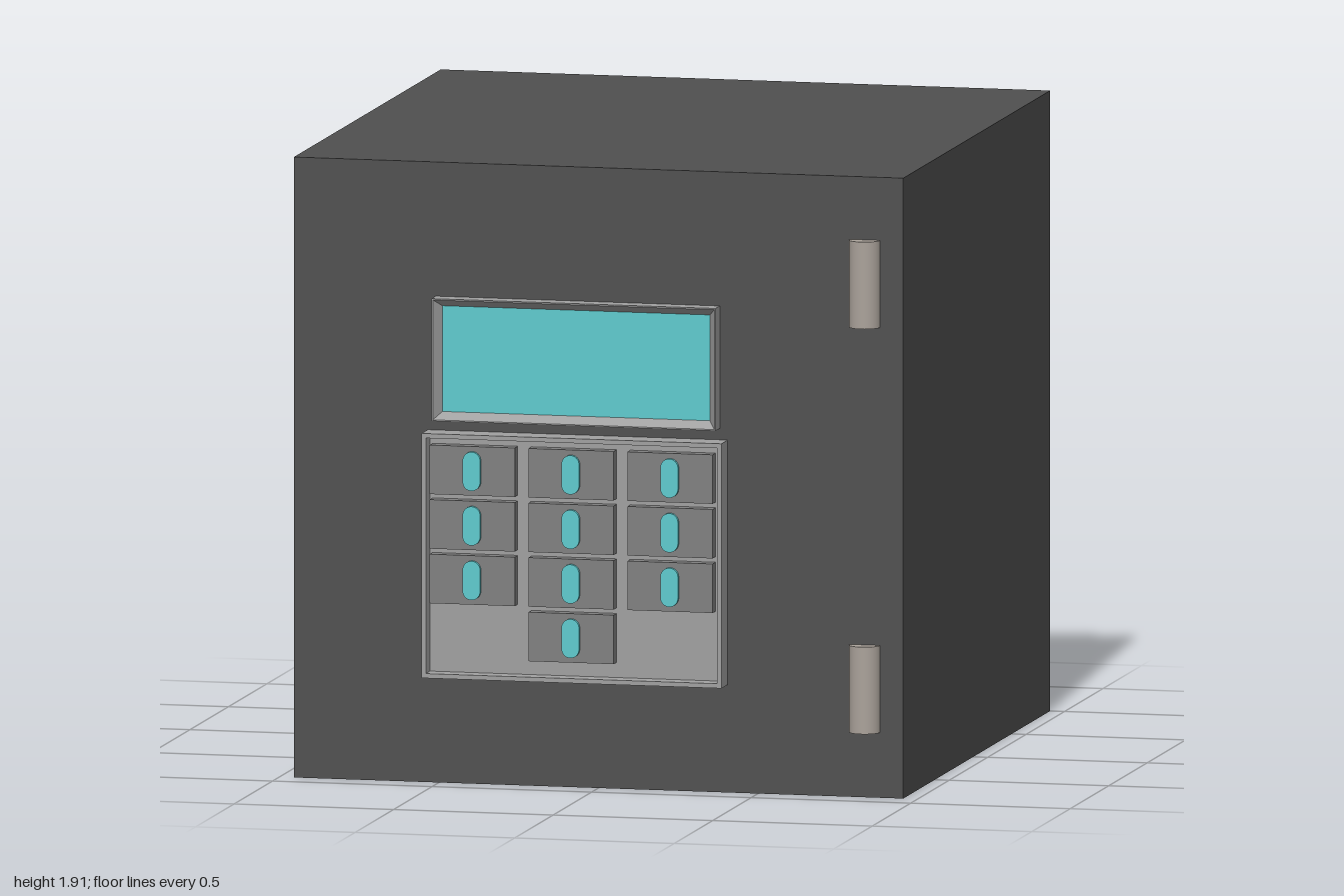
import * as THREE from 'three';

const FRONT = 0.91; // z of the door face
const material = (color) => new THREE.MeshStandardMaterial({ color });

// Rectangle as a closed loop of corners, counter-clockwise seen from +z
function corners(x0, x1, y0, y1, inset, z) {
  return [
    [x0 + inset, y0 + inset, z], [x1 - inset, y0 + inset, z],
    [x1 - inset, y1 - inset, z], [x0 + inset, y1 - inset, z],
  ];
}

// Rectangular bezel lofted through [inset, z] steps; the last loop is capped if wanted
function bezel(x0, x1, y0, y1, steps, capped) {
  const loops = steps.map(([inset, z]) => corners(x0, x1, y0, y1, inset, z));
  const pos = [];
  const quad = (a, b, c, d) => pos.push(...a, ...b, ...c, ...a, ...c, ...d);
  for (let i = 0; i < loops.length - 1; i++) {
    for (let k = 0; k < 4; k++) {
      const n = (k + 1) % 4;
      quad(loops[i][k], loops[i][n], loops[i + 1][n], loops[i + 1][k]);
    }
  }
  if (capped) quad(...loops[loops.length - 1]);
  const geo = new THREE.BufferGeometry();
  geo.setAttribute('position', new THREE.Float32BufferAttribute(pos, 3));
  geo.computeVertexNormals();
  return geo;
}

// Plain raised pill used as the mark on each key
function pill(w, h, depth) {
  const r = w / 2, s = h / 2 - r;
  const shape = new THREE.Shape();
  shape.absarc(0, s, r, 0, Math.PI, false);
  shape.absarc(0, -s, r, Math.PI, Math.PI * 2, false);
  shape.closePath();
  return new THREE.ExtrudeGeometry(shape, { depth, bevelEnabled: false, curveSegments: 10 });
}

export function createModel() {
  const group = new THREE.Group();
  const dark = material(0x505050);
  const panel = material(0xa0a0a0);
  const keyGrey = material(0x808080);
  const cyan = material(0x5ecace);
  const steel = material(0xaaa29a);

  function add(name, geo, mat, x = 0, y = 0, z = 0, parent = group) {
    const mesh = new THREE.Mesh(geo, mat);
    mesh.name = name;
    mesh.position.set(x, y, z);
    parent.add(mesh);
    return mesh;
  }

  // Safe body
  add('body', new THREE.BoxGeometry(1.91, 1.91, 1.91), dark, 0, 0.955, -0.045);

  // Hinges, half sunk into the door on its left edge
  const hingeGeo = new THREE.CylinderGeometry(0.048, 0.048, 0.268, 32);
  for (const [name, y] of [['lowerHinge', 0.335], ['upperHinge', 1.582]]) {
    add(name, hingeGeo, steel, 0.835, y, 0.912);
  }

  // Display: sloping frame around a sunken screen
  add('screenFrame', bezel(-0.51, 0.38, 1.12, 1.497,
    [[0, FRONT], [0, 0.965], [0.004, 0.965], [0.026, 0.93]], false), panel);
  add('screen', new THREE.PlaneGeometry(0.84, 0.327), cyan, -0.065, 1.3085, 0.9305);

  // Keypad tray with a thin raised rim
  const keypad = new THREE.Group();
  keypad.name = 'keypad';
  group.add(keypad);
  add('keypadTray', bezel(-0.535, 0.405, 0.332, 1.085,
    [[0, FRONT], [0, 0.992], [0.014, 0.992], [0.016, 0.95]], true), panel, 0, 0, 0, keypad);

  // Keys: three rows of three and one more below the middle column
  const keyGeo = new THREE.BoxGeometry(0.267, 0.151, 0.055);
  const markGeo = pill(0.055, 0.12, 0.02);
  for (let row = 0; row < 4; row++) {
    for (let col = 0; col < 3; col++) {
      if (row === 3 && col !== 1) continue;
      const x = -0.377 + col * 0.31;
      const y = 0.974 - row * 0.168;
      add('key', keyGeo, keyGrey, x, y, 0.9605, keypad);
      add('keyMark', markGeo, cyan, x, y, 0.98, keypad);
    }
  }
  return group;
}
